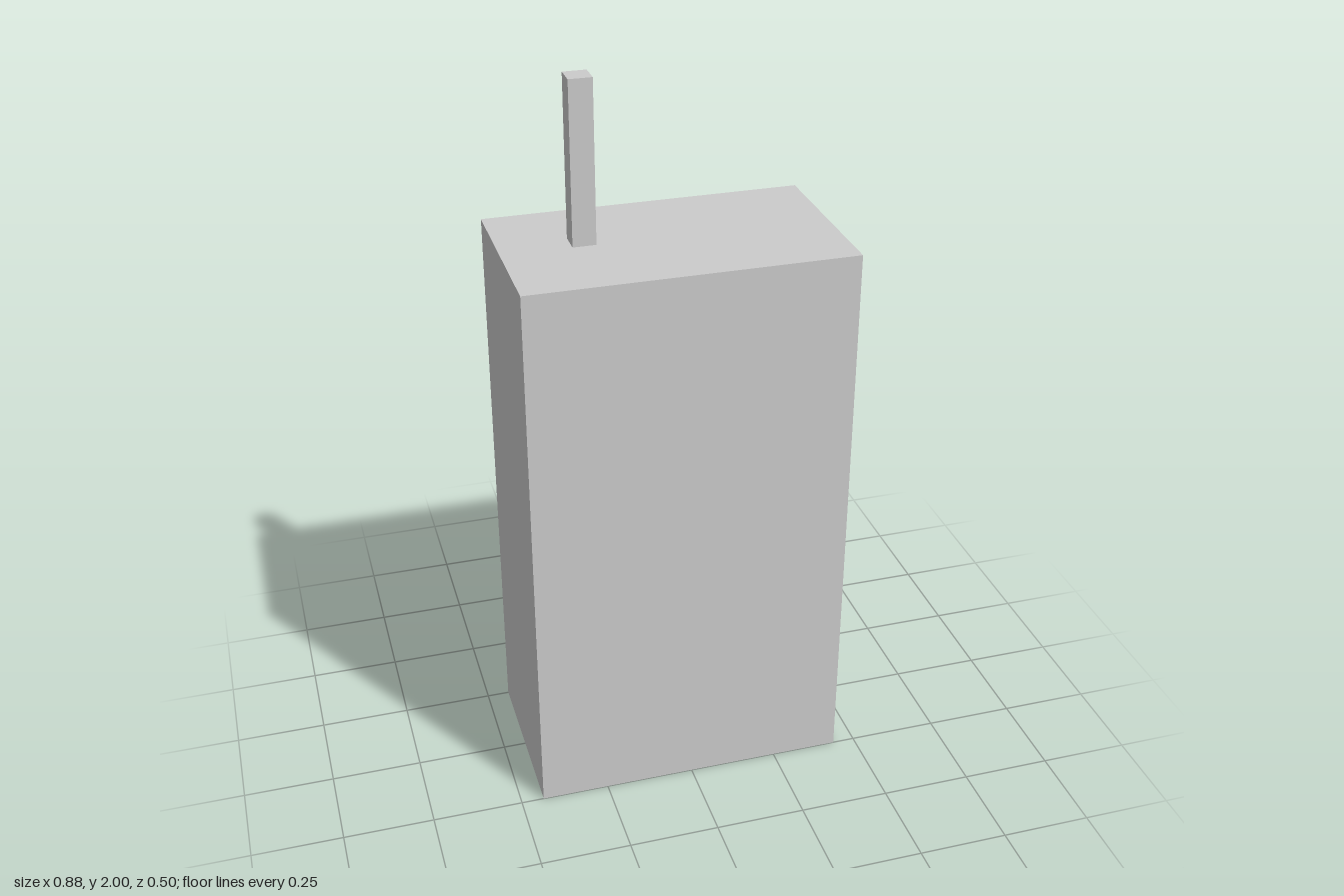
import * as THREE from 'three';

// Everything sits on a grid of 1/16 unit
const U = 1 / 16;

// Box given by its minimum corner and size, in grid units
function block(name, [x, y, z], [w, h, d], material) {
  const mesh = new THREE.Mesh(new THREE.BoxGeometry(w * U, h * U, d * U), material);
  mesh.position.set((x + w / 2) * U, (y + h / 2) * U, (z + d / 2) * U);
  mesh.name = name;
  return mesh;
}

export function createModel() {
  const material = new THREE.MeshStandardMaterial({ color: 0xcccccc, flatShading: true });
  const group = new THREE.Group();
  group.name = 'handheldRadio';

  // Upright case, with a square antenna off-centre on its top
  group.add(block('body', [-7, 0, -4], [14, 25, 8], material));
  group.add(block('antenna', [-4, 25, -1], [1, 7, 1], material));
  return group;
}
